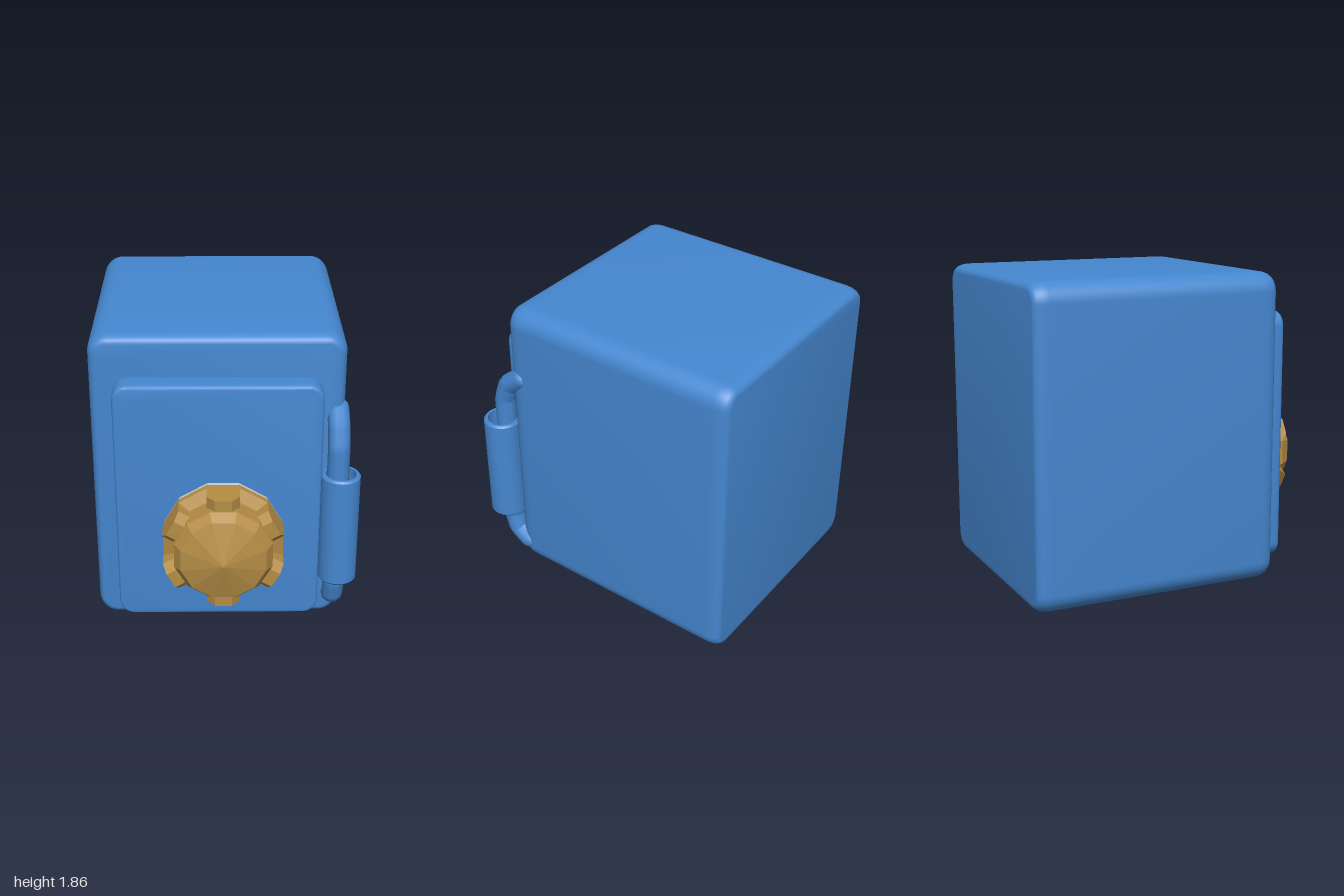
import * as THREE from 'three';
import { toCreasedNormals } from 'three/addons/utils/BufferGeometryUtils.js';

const blue = new THREE.MeshStandardMaterial({ color: 0x4587d0 });
const gold = new THREE.MeshStandardMaterial({ color: 0xb58d45 });
const grey = new THREE.MeshStandardMaterial({ color: 0xcccccc });

function add(parent, name, geometry, material) {
  const mesh = new THREE.Mesh(geometry, material);
  mesh.name = name;
  parent.add(mesh);
  return mesh;
}

// Rounded slab spanning x0..x1, y0..y1, z0..z1 with a soft rim on front and back
function slab(x0, x1, y0, y1, z0, z1, radius, rim, rimDepth) {
  const a = x0 + rim, b = x1 - rim, c = y0 + rim, d = y1 - rim, r = radius - rim;
  const s = new THREE.Shape();
  s.absarc(b - r, c + r, r, -Math.PI / 2, 0);
  s.absarc(b - r, d - r, r, 0, Math.PI / 2);
  s.absarc(a + r, d - r, r, Math.PI / 2, Math.PI);
  s.absarc(a + r, c + r, r, Math.PI, Math.PI * 1.5);
  const g = new THREE.ExtrudeGeometry(s, {
    depth: z1 - z0 - 2 * rimDepth, curveSegments: 6,
    bevelSize: rim, bevelThickness: rimDepth, bevelSegments: 4,
  });
  g.translate(0, 0, z0 + rimDepth);
  return toCreasedNormals(g, 0.65);
}

// Faceted lathe turned to point along +z, with a flat side facing up
function facetedLathe(points, sides) {
  const g = new THREE.LatheGeometry(points.map(p => new THREE.Vector2(...p)), sides);
  g.rotateX(Math.PI / 2);
  g.rotateZ(Math.PI / sides);
  return toCreasedNormals(g, 0.05);
}

function createDial() {
  const dial = new THREE.Group();
  dial.name = 'dial';
  add(dial, 'dialPlate', facetedLathe([[0, 0], [0.36, 0], [0.36, 0.03], [0, 0.03]], 12), grey);
  add(dial, 'dialKnob', facetedLathe([
    [0, 0.03], [0.365, 0.03], [0.365, 0.07], [0.3, 0.11], [0.295, 0.23], [0.255, 0.29], [0, 0.36],
  ], 12), gold);

  // Six finger grips with clipped front corners
  const grip = new THREE.Shape([
    [-0.095, 0.03], [0.095, 0.03], [0.095, 0.17], [0.05, 0.225], [-0.05, 0.225], [-0.095, 0.17],
  ].map(p => new THREE.Vector2(...p)));
  const gripGeometry = new THREE.ExtrudeGeometry(grip, { depth: 0.1, bevelEnabled: false });
  gripGeometry.rotateX(Math.PI / 2);
  // Reverse front-to-back so the grip points outward along +y
  gripGeometry.rotateY(0).translate(0, 0.353, 0);
  for (let i = 0; i < 6; i++) {
    add(dial, 'fingerGrip', gripGeometry, gold).rotation.z = i * Math.PI / 3;
  }
  dial.position.set(-0.02, 0.65, 0.64);
  return dial;
}

function createHinge() {
  const hinge = new THREE.Group();
  hinge.name = 'hinge';

  // Hollow sleeve with chamfered ends
  const profile = [
    [0.09, 0.35], [0.105, 0.35], [0.115, 0.362], [0.115, 1.038],
    [0.105, 1.05], [0.09, 1.05], [0.09, 0.35],
  ].map(p => new THREE.Vector2(...p));
  const sleeve = toCreasedNormals(new THREE.LatheGeometry(profile, 24), 0.5);
  add(hinge, 'hingeSleeve', sleeve, blue).position.set(0.665, 0, 0.625);

  // Bent pin running through the sleeve into the cabinet
  const points = [
    [0.14, 0.48], [0.2, 0.57], [0.3, 0.6], [1.2, 0.6], [1.31, 0.56], [1.39, 0.455],
  ].map(([y, z]) => new THREE.Vector3(0.65, y, z));
  const path = new THREE.CurvePath();
  for (let i = 1; i < points.length; i++) path.add(new THREE.LineCurve3(points[i - 1], points[i]));
  const pin = new THREE.TubeGeometry(path, 48, 0.065, 10);
  add(hinge, 'hingePin', pin, blue);

  // Rounded-off pin ends
  for (const p of [points[0], points[points.length - 1]]) {
    add(hinge, 'hingePinEnd', new THREE.SphereGeometry(0.064, 10, 6), blue).position.copy(p);
  }
  return hinge;
}

export function createModel() {
  const safe = new THREE.Group();
  safe.name = 'safe';
  add(safe, 'cabinet', slab(-0.79, 0.69, 0, 1.86, -1, 0.51, 0.12, 0.045, 0.09), blue);
  add(safe, 'door', slab(-0.65, 0.555, 0.09, 1.61, 0.46, 0.64, 0.09, 0.018, 0.03), blue);
  safe.add(createDial(), createHinge());
  return safe;
}
